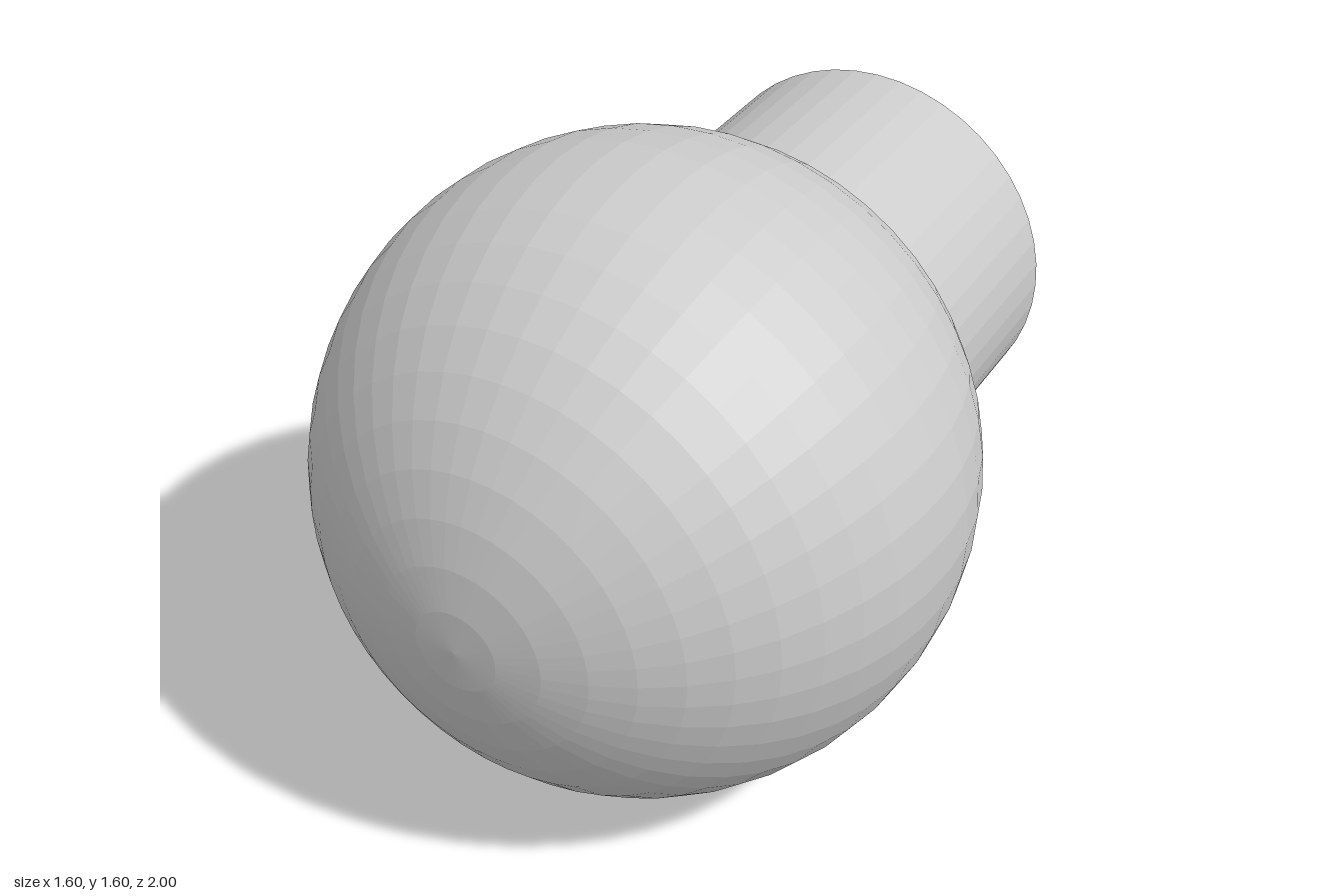
import * as THREE from 'three';

const SIDES = 48;
const BALL_RADIUS = 0.8;
const NECK_RADIUS = 0.5;
const BALL_Z = 0.2;
const BACK_Z = -1;

export function createModel() {
  const group = new THREE.Group();
  group.name = 'globeWithNeck';
  const material = new THREE.MeshStandardMaterial({ color: 0xcccccc, flatShading: true });

  const addPart = (name, geometry, z) => {
    geometry.rotateX(Math.PI / 2); // turn the axis from y to z
    const mesh = new THREE.Mesh(geometry, material);
    mesh.name = name;
    mesh.position.set(0, BALL_RADIUS, z);
    group.add(mesh);
  };

  // Ball, open at the back where the neck joins it
  const seamAngle = Math.PI - Math.asin(NECK_RADIUS / BALL_RADIUS);
  addPart('ball', new THREE.SphereGeometry(BALL_RADIUS, SIDES, 19, 0, Math.PI * 2, 0, seamAngle), BALL_Z);

  // Neck from the seam to the flat back end
  const seamZ = BALL_Z + BALL_RADIUS * Math.cos(seamAngle);
  const length = seamZ - BACK_Z;
  addPart('neck', new THREE.CylinderGeometry(NECK_RADIUS, NECK_RADIUS, length, SIDES), BACK_Z + length / 2);

  return group;
}
